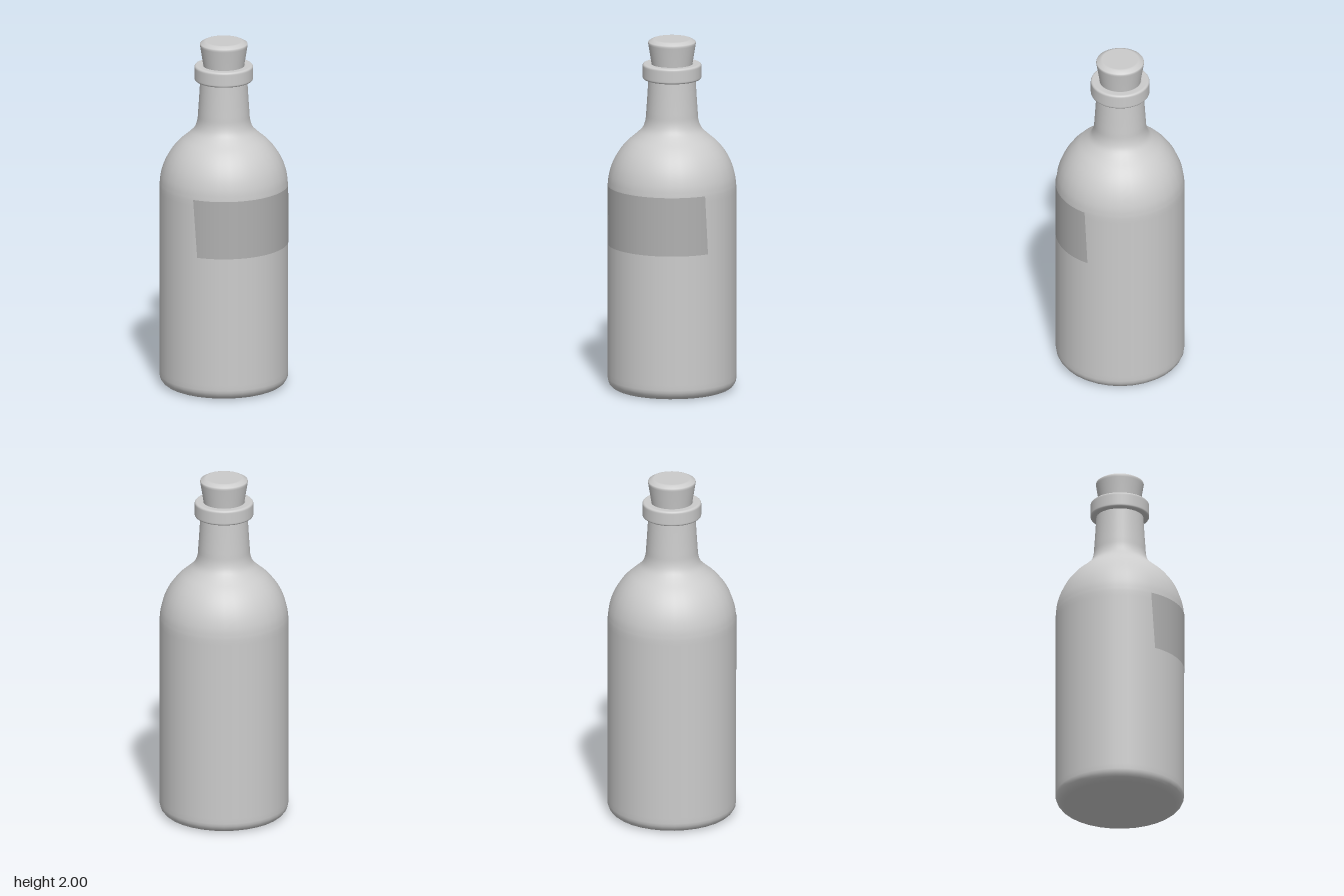
import * as THREE from 'three';

const grey = new THREE.MeshStandardMaterial({ color: 0xcccccc });
const labelGrey = new THREE.MeshStandardMaterial({ color: 0xb0b0b0, side: THREE.DoubleSide });

// Revolve [radius, height] pairs, listed from bottom to top along the outside
function turned(name, profile, segments) {
  const points = profile.map(([r, y]) => new THREE.Vector2(r, y));
  const mesh = new THREE.Mesh(new THREE.LatheGeometry(points, segments), grey);
  mesh.name = name;
  return mesh;
}

// Points of a quarter round from angle a0 to a1 (degrees)
function arc(cx, cy, r, a0, a1, steps = 5) {
  return Array.from({ length: steps + 1 }, (_, i) => {
    const a = THREE.MathUtils.degToRad(a0 + ((a1 - a0) * i) / steps);
    return [cx + r * Math.cos(a), cy + r * Math.sin(a)];
  });
}

// Thin wrapped sheet, its sides leaning slightly
function createLabel() {
  const geometry = new THREE.PlaneGeometry(1, 1, 32, 1);
  const pos = geometry.attributes.position;
  const normal = geometry.attributes.normal;
  const radius = 0.3625;
  for (let i = 0; i < pos.count; i++) {
    const t = pos.getX(i) + 0.5;
    const top = pos.getY(i) > 0;
    const degrees = top ? THREE.MathUtils.lerp(-57, 56, t) : THREE.MathUtils.lerp(-53, 59, t);
    const a = THREE.MathUtils.degToRad(degrees);
    pos.setXYZ(i, radius * Math.sin(a), top ? 1.165 : 0.83, radius * Math.cos(a));
    normal.setXYZ(i, Math.sin(a), 0, Math.cos(a));
  }
  const mesh = new THREE.Mesh(geometry, labelGrey);
  mesh.name = 'label';
  return mesh;
}

export function createModel() {
  const bottle = new THREE.Group();
  bottle.name = 'corkedBottle';

  // Shoulder and neck follow one smooth curve
  const shoulder = new THREE.CatmullRomCurve3(
    [
      [0.361, 1.16], [0.354, 1.22], [0.333, 1.29], [0.298, 1.355], [0.252, 1.41],
      [0.2, 1.455], [0.165, 1.492], [0.149, 1.535], [0.144, 1.59], [0.138, 1.68], [0.132, 1.78],
    ].map(([r, y]) => new THREE.Vector3(r, y, 0)),
  ).getPoints(36).map((p) => [p.x, p.y]);

  // Body with a rounded foot
  bottle.add(turned('body', [
    [0, 0], [0.29, 0], [0.3, 0],
    ...arc(0.301, 0.06, 0.06, -90, 0, 6),
    [0.361, 0.09], [0.361, 1.13],
    ...shoulder,
  ], 32));

  // Collar around the mouth, softened at both rims
  bottle.add(turned('collar', [
    [0.11, 1.772], [0.15, 1.772],
    ...arc(0.153, 1.784, 0.012, -90, 0),
    [0.165, 1.79], [0.165, 1.842],
    ...arc(0.153, 1.848, 0.012, 0, 90),
    [0.15, 1.86], [0.124, 1.86],
    ...arc(0.122, 1.852, 0.008, 90, 180, 3),
    [0.114, 1.82], [0.112, 1.78],
  ], 48));

  // Tapered stopper with a bevelled top
  bottle.add(turned('cork', [
    [0, 1.79], [0.106, 1.79], [0.107, 1.792], [0.115, 1.86], [0.133, 1.97],
    [0.1345, 1.979], [0.132, 1.986], [0.113, 1.997], [0.105, 2], [0.1, 2], [0, 2],
  ], 48));

  bottle.add(createLabel());
  return bottle;
}
